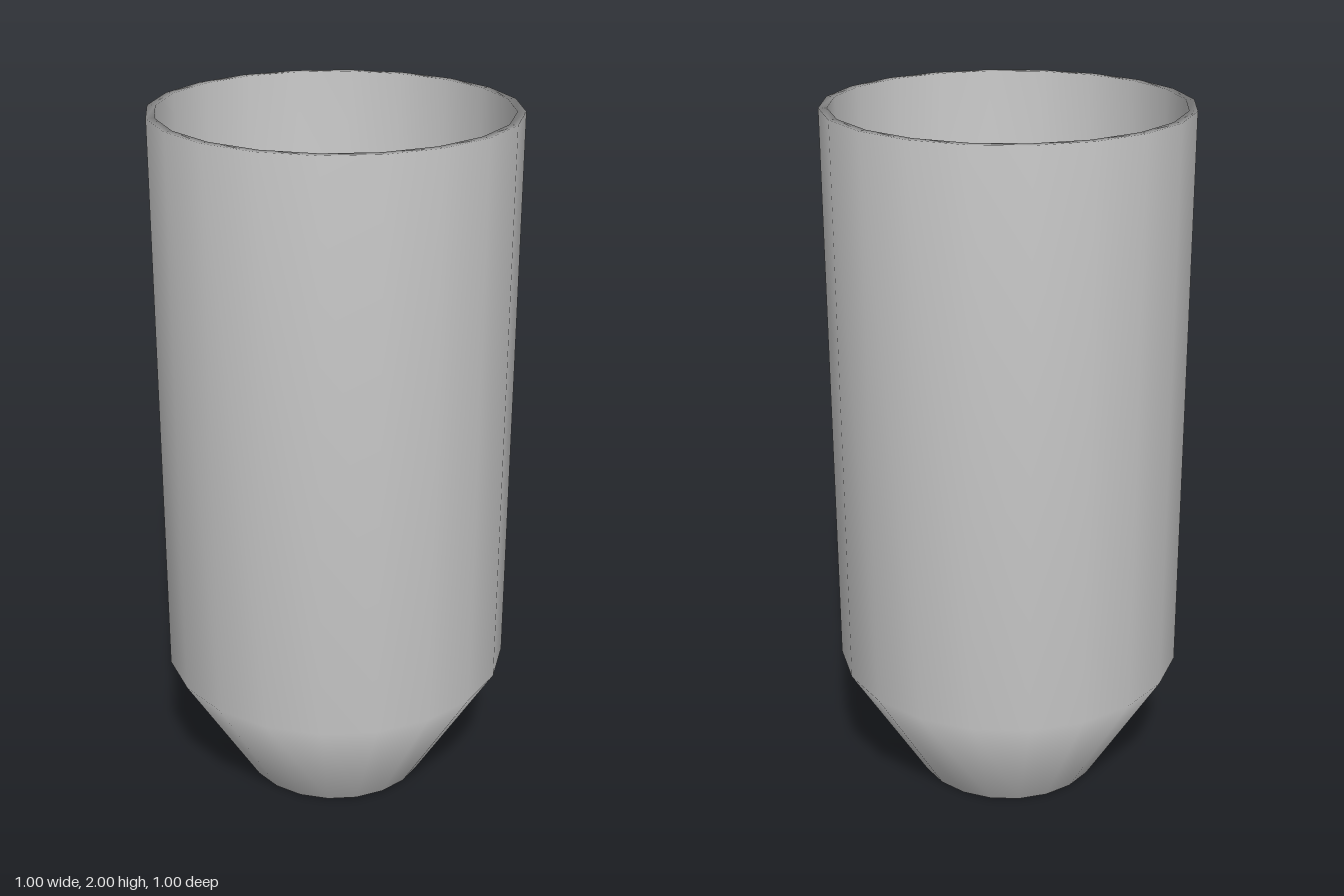
import * as THREE from 'three';
import { mergeVertices } from 'three/addons/utils/BufferGeometryUtils.js';

const SIDES = 20;

export function createModel() {
  const group = new THREE.Group();
  group.name = 'openCup';

  // Closed wall section: recessed base, foot rim, taper, tall wall, lip, inside
  const profile = [
    [0, 0.03], [0.25, 0.03], [0.255, 0], [0.27, 0],
    [0.5, 0.38], [0.5, 2],
    [0.477, 2], [0.477, 0.39],
    [0.255, 0.05], [0, 0.05],
  ].map(([r, y]) => new THREE.Vector2(r, y));

  // Weld the seam and share normals so the whole shell shades smoothly
  let shell = new THREE.LatheGeometry(profile, SIDES);
  shell.deleteAttribute('uv');
  shell.deleteAttribute('normal');
  shell = mergeVertices(shell, 1e-4);
  shell.computeVertexNormals();

  const mesh = new THREE.Mesh(shell, new THREE.MeshStandardMaterial({ color: 0xcccccc }));
  mesh.name = 'taperedShell';
  group.add(mesh);
  return group;
}
